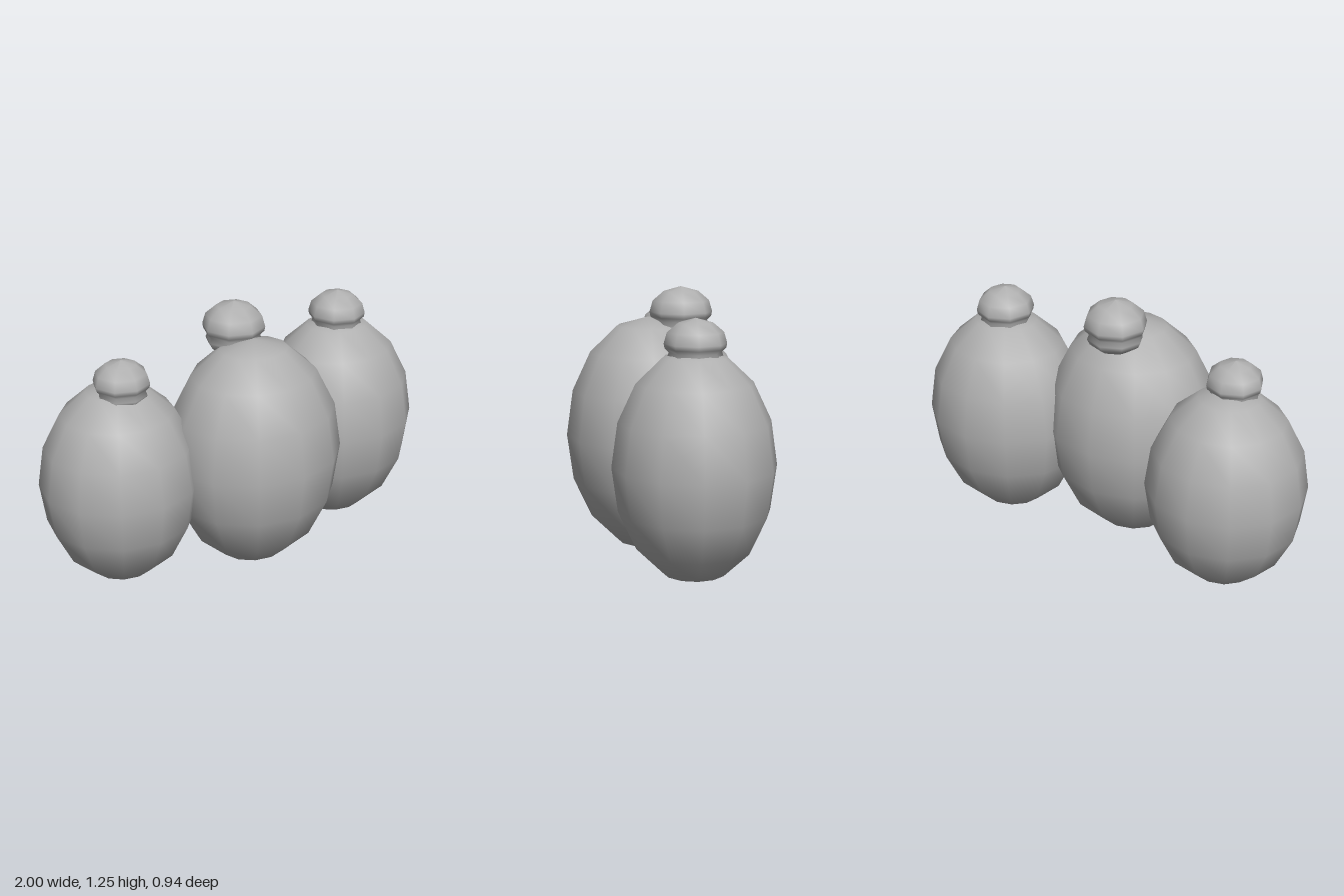
import * as THREE from 'three';

const grey = new THREE.MeshStandardMaterial({ color: 0xb0b0b0 });
grey.name = 'plain grey';

// Knob profile from neck to crown, in units of its radius, measured from the top
const knobProfile = [
  [0, -1.62], [0.6, -1.58], [0.82, -1.42], [0.9, -1.24], [0.84, -1.08],
  [0.97, -0.95], [1, -0.8], [0.9, -0.45], [0.55, -0.15], [0, 0],
].map(([r, y]) => new THREE.Vector2(r, y));

function createFigure(name, { centre, radii, knob }) {
  const figure = new THREE.Group();
  figure.name = name;

  // Egg-shaped body
  const bodyGeometry = new THREE.SphereGeometry(1, 12, 8);
  bodyGeometry.scale(...radii);
  const body = new THREE.Mesh(bodyGeometry, grey);
  body.name = name + 'Body';
  body.position.set(...centre);

  // Mushroom-shaped knob with a ringed neck sunk into the body
  const knobGeometry = new THREE.LatheGeometry(knobProfile, 8);
  knobGeometry.scale(knob.r, knob.r, knob.r);
  const top = new THREE.Mesh(knobGeometry, grey);
  top.name = name + 'Knob';
  top.position.set(centre[0], knob.top, knob.z);

  figure.add(body, top);
  return figure;
}

export function createModel() {
  const model = new THREE.Group();
  model.name = 'threeKnobbedEggs';
  model.add(
    createFigure('rightEgg', {
      centre: [-0.63, 0.505, -0.113], radii: [0.372, 0.485, 0.361],
      knob: { r: 0.13, top: 1.112, z: -0.068 },
    }),
    createFigure('middleEgg', {
      centre: [-0.015, 0.56, 0.085], radii: [0.426, 0.555, 0.385],
      knob: { r: 0.147, top: 1.255, z: -0.068 },
    }),
    createFigure('leftEgg', {
      centre: [0.6, 0.532, -0.064], radii: [0.395, 0.517, 0.362],
      knob: { r: 0.137, top: 1.178, z: -0.066 },
    }),
  );
  return model;
}
